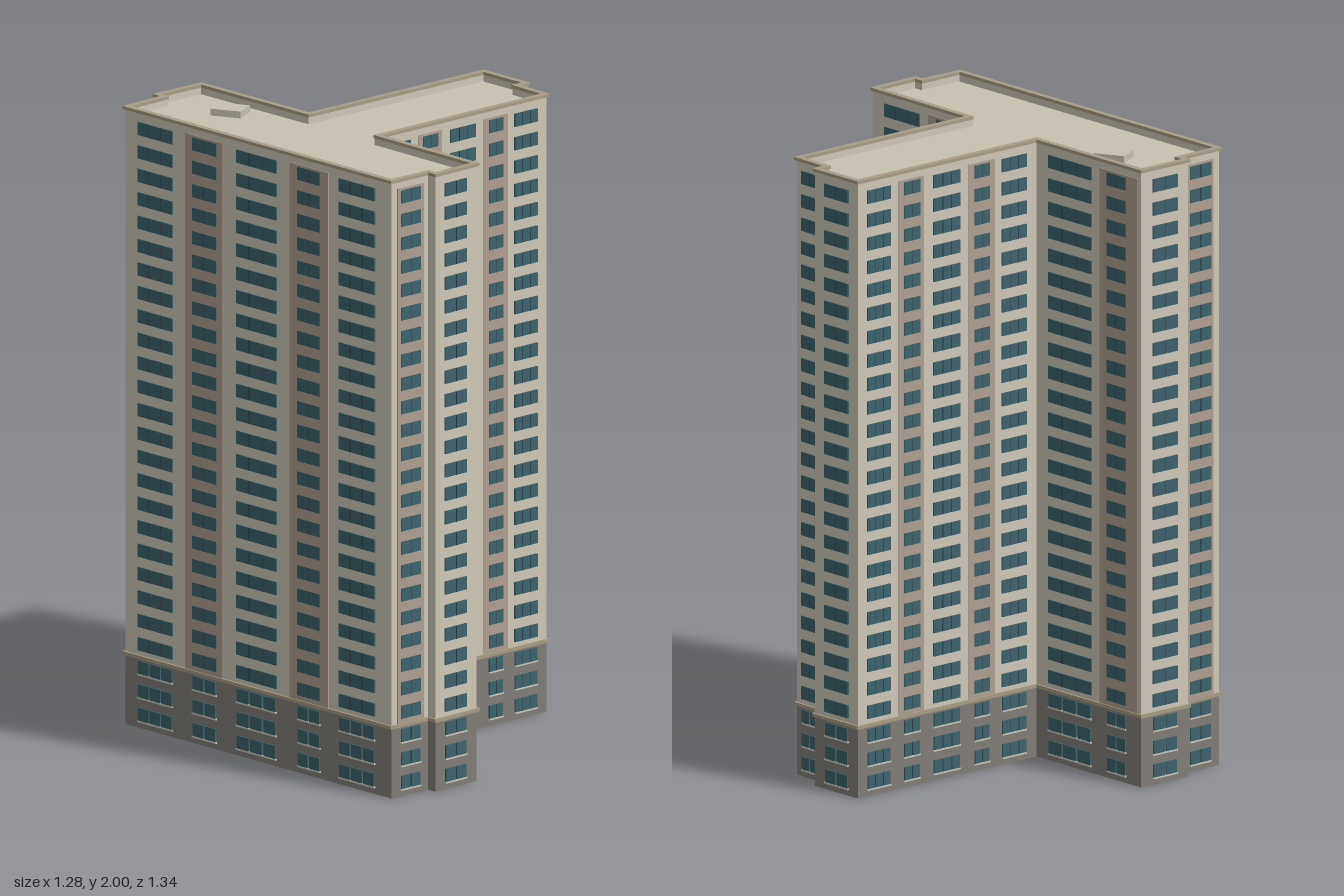
import * as THREE from 'three';
import { mergeGeometries } from 'three/addons/utils/BufferGeometryUtils.js';

const mat = (name, color) => {
  const m = new THREE.MeshStandardMaterial({ color });
  m.name = name;
  return m;
};

// Plan outline (x, z), walked so that the outside is at (-dz, dx)
const PLAN = [
  [-0.635, 0.13], [0.455, 0.66], [0.525, 0.52], [0.555, 0.535], [0.63, 0.37],
  [0.23, 0.17], [0.543, -0.473], [0.422, -0.537], [0.44, -0.575], [0.26, -0.662],
  [-0.07, 0.005], [-0.51, -0.208], [-0.597, -0.035], [-0.567, -0.02],
];

// Window columns per wall: [edge index, [[start, end, panes], ...], [[tinted strip start, end], ...]]
const LONG = [[0.05, 0.18, 3], [0.255, 0.345, 2], [0.42, 0.57, 3], [0.65, 0.735, 2], [0.805, 0.94, 3]];
const LONG_STRIPS = [[0.228, 0.368], [0.62, 0.765]];
const WALLS = [
  [0, LONG, LONG_STRIPS],
  [1, [[0.24, 0.78, 2]], [[0.16, 0.87]]],
  [3, [[0.22, 0.74, 2]], []],
  [4, [[0.13, 0.5, 3], [0.68, 0.88, 2]], [[0.59, 0.97]]],
  [5, LONG, LONG_STRIPS],
  [6, [[0.2, 0.8, 2]], []],
  [8, [[0.24, 0.79, 2]], []],
  [9, LONG, LONG_STRIPS],
  [10, [[0.12, 0.53, 3], [0.68, 0.86, 2]], [[0.61, 0.97]]],
  [11, [[0.24, 0.76, 2]], []],
  [13, [[0.22, 0.77, 2]], [[0.13, 0.84]]],
];
const FLOORS = 26, BASE_FLOORS = 3, PITCH = 0.0758, FIRST = 0.045, WIN_H = 0.042;
const BASE_TOP = 0.23, ROOF = 1.968;

// Outline moved outward by d, with mitred corners
function offset(d) {
  const n = PLAN.length;
  const normal = (i) => {
    const a = PLAN[i], b = PLAN[(i + 1) % n];
    const dx = b[0] - a[0], dz = b[1] - a[1], l = Math.hypot(dx, dz);
    return [-dz / l, dx / l];
  };
  return PLAN.map((p, i) => {
    const a = normal((i + n - 1) % n), b = normal(i);
    const k = d / (1 + a[0] * b[0] + a[1] * b[1]);
    return new THREE.Vector2(p[0] + (a[0] + b[0]) * k, -(p[1] + (a[1] + b[1]) * k));
  });
}

// Upright slab of the outline, optionally hollow
function slab(y0, y1, out, inner) {
  const shape = new THREE.Shape(offset(out));
  if (inner !== undefined) shape.holes.push(new THREE.Path(offset(inner)));
  return new THREE.ExtrudeGeometry(shape, { depth: y1 - y0, bevelEnabled: false })
    .rotateX(-Math.PI / 2).translate(0, y0, 0);
}

// Thin plate on a wall, from fraction t0 to t1 along it
function plate(edge, t0, t1, y0, y1, proud) {
  const a = PLAN[edge], b = PLAN[(edge + 1) % PLAN.length];
  const dx = b[0] - a[0], dz = b[1] - a[1], t = (t0 + t1) / 2;
  return new THREE.BoxGeometry((t1 - t0) * Math.hypot(dx, dz), y1 - y0, proud * 2)
    .rotateY(-Math.atan2(dz, dx))
    .translate(a[0] + dx * t, (y0 + y1) / 2, a[1] + dz * t);
}

export function createModel() {
  const wall = mat('cream wall', 0xcfc9b9);
  const tint = mat('taupe strip', 0xaf9f92);
  const stone = mat('grey base', 0x817e79);
  const glass = mat('teal glass', 0x3f626b);
  const frame = mat('dark frame', 0x2c4047);
  const trim = mat('tan trim', 0xa79d86);
  const roof = mat('roof', 0xc6c1b0);

  const group = new THREE.Group();
  const add = (name, geometry, material) => {
    const mesh = new THREE.Mesh(geometry, material);
    mesh.name = name;
    group.add(mesh);
    return mesh;
  };

  // Main masses
  add('base', slab(0, BASE_TOP, 0), stone);
  add('tower', slab(BASE_TOP, ROOF - 0.004, 0), wall);
  add('roofDeck', slab(ROOF - 0.004, ROOF, -0.001), roof);
  add('parapet', slab(ROOF - 0.004, 1.992, 0, -0.012), wall);
  add('parapetCoping', slab(1.99, 2, 0.006, -0.014), trim);
  add('baseCornice', slab(0.225, 0.236, 0.007), trim);
  add('roofHatch', new THREE.BoxGeometry(0.1, 0.022, 0.08).translate(-0.337, ROOF + 0.011, -0.008), roof);

  // Wall strips, windows, mullions and sills
  const strips = [], panes = [], mullions = [], sills = [];
  for (const [edge, columns, bands] of WALLS) {
    for (const [s, e] of bands) strips.push(plate(edge, s, e, 0.236, ROOF, 0.003));
    for (const [s, e, count] of columns) {
      const w = (e - s) / count;
      for (let f = 0; f < FLOORS; f++) {
        const y0 = FIRST + f * PITCH - WIN_H / 2, y1 = y0 + WIN_H;
        if (f < BASE_FLOORS) {
          // separate windows in the base, over a pale sill
          for (let i = 0; i < count; i++)
            panes.push(plate(edge, s + w * (i + 0.06), s + w * (i + 0.94), y0, y1, 0.005));
          sills.push(plate(edge, s, e, y0 - 0.005, y0, 0.006));
        } else {
          panes.push(plate(edge, s, e, y0, y1, 0.005));
          for (let i = 1; i < count; i++)
            mullions.push(plate(edge, s + w * (i - 0.025), s + w * (i + 0.025), y0, y1, 0.006));
        }
      }
    }
  }
  add('wallStrips', mergeGeometries(strips), tint);
  add('windows', mergeGeometries(panes), glass);
  add('windowMullions', mergeGeometries(mullions), frame);
  add('windowSills', mergeGeometries(sills), wall);
  return group;
}
